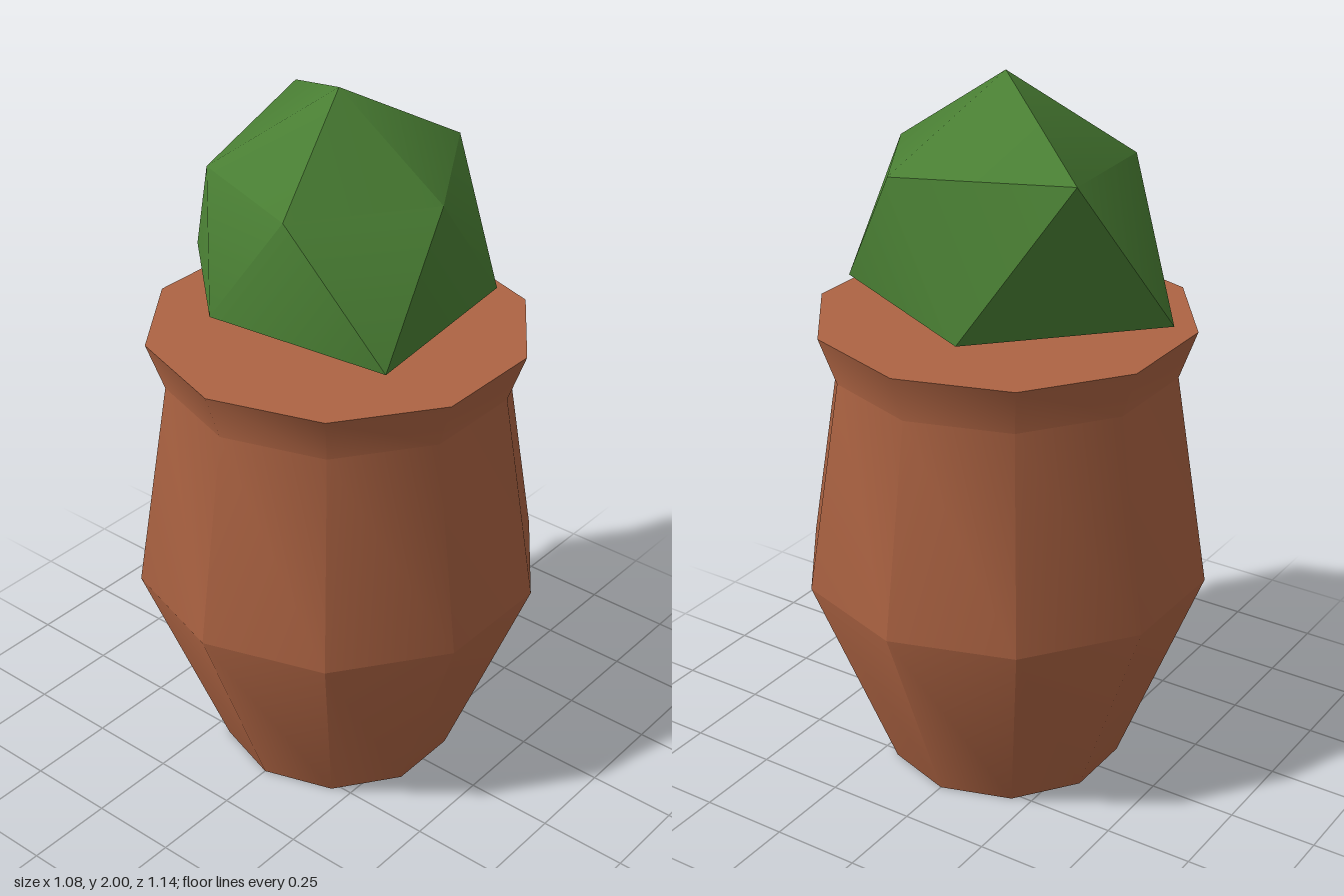
import * as THREE from 'three';
import { toCreasedNormals } from 'three/addons/utils/BufferGeometryUtils.js';

const CREASE = 0.7;

export function createModel() {
  const terracotta = new THREE.MeshStandardMaterial({ color: 0xae6443 });
  terracotta.name = 'terracotta';
  const leafGreen = new THREE.MeshStandardMaterial({ color: 0x497e33 });
  leafGreen.name = 'leafGreen';

  const group = new THREE.Group();
  const add = (name, geometry, material) => {
    const mesh = new THREE.Mesh(toCreasedNormals(geometry, CREASE), material);
    mesh.name = name;
    group.add(mesh);
  };

  // Ten-sided pot: closed base, wide belly, narrow neck, flared rim and flat top
  const profile = [[0, 0], [0.335, 0], [0.57, 0.6], [0.475, 1.2], [0.523, 1.335], [0, 1.335]]
    .map(([r, y]) => new THREE.Vector2(r, y));
  add('pot', new THREE.LatheGeometry(profile, 10).toNonIndexed(), terracotta);

  // Bush: an uneven icosahedron, each ring point pushed in or out from the centre
  const centreY = 1.63, slope = 0.43;
  const ring = (radii, startAngle, side) => radii.map((r, i) => {
    const a = startAngle + i * Math.PI * 0.4;
    return [r * Math.cos(a), centreY + side * slope * r, r * Math.sin(a)];
  });
  const upper = ring([0.335, 0.367, 0.34, 0.48, 0.377], 0, 1);
  const lower = ring([0.465, 0.39, 0.512, 0.47, 0.415], Math.PI / 5, -1);
  const top = [0, 2, 0], bottom = [0, 1.25, 0];
  const corners = [];
  for (let i = 0; i < 5; i++) {
    const j = (i + 1) % 5;
    corners.push(
      top, upper[j], upper[i],
      upper[i], upper[j], lower[i],
      lower[i], upper[j], lower[j],
      lower[i], lower[j], bottom);
  }
  const bush = new THREE.BufferGeometry();
  bush.setAttribute('position', new THREE.Float32BufferAttribute(corners.flat(), 3));
  add('bush', bush, leafGreen);

  return group;
}
